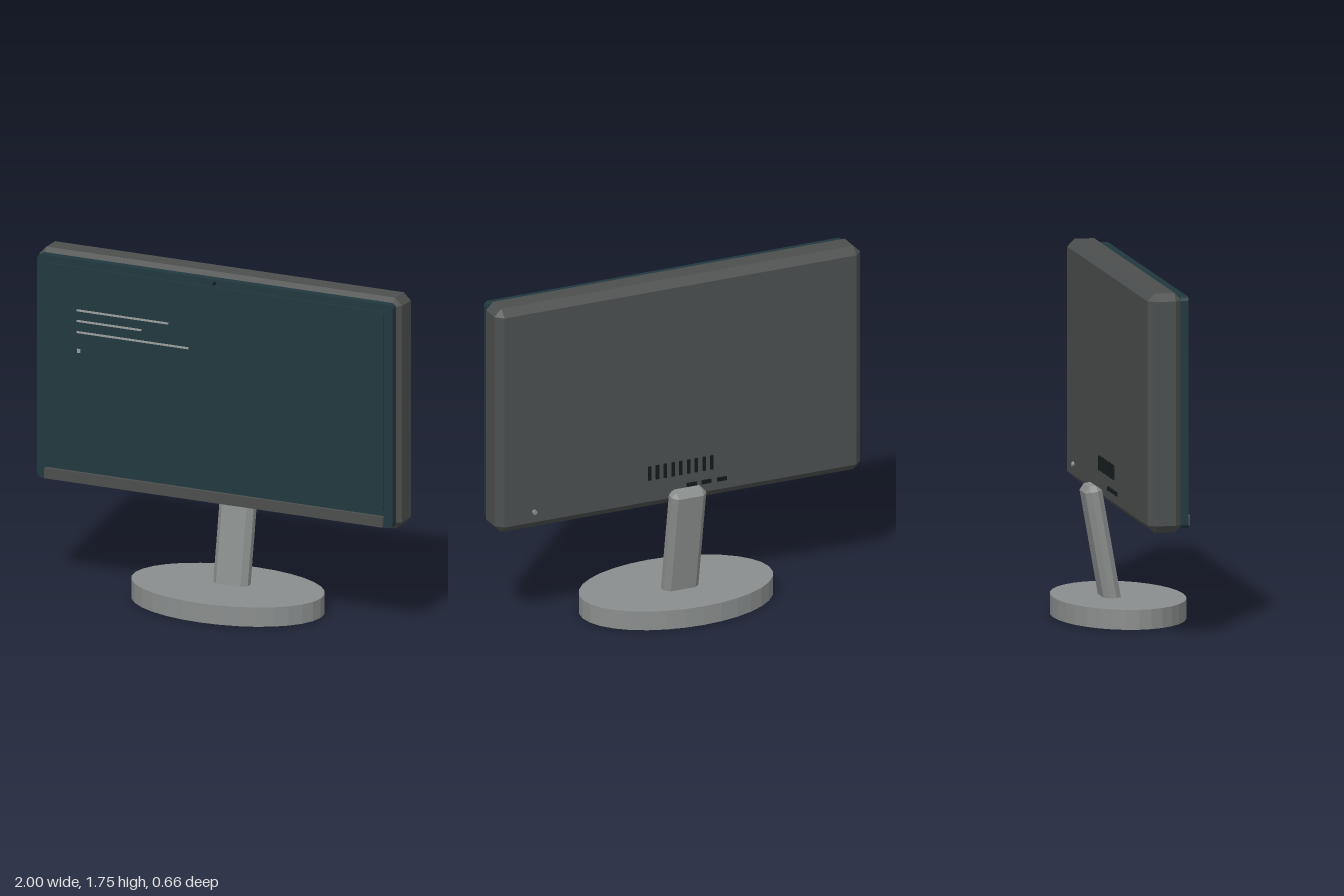
import * as THREE from 'three';
import { ConvexGeometry } from 'three/addons/geometries/ConvexGeometry.js';

const paint = (name, color) => {
  const m = new THREE.MeshStandardMaterial({ color });
  m.name = name;
  return m;
};

// Box with every edge chamfered flat by c
function chamferBox(w, h, d, c) {
  const pts = [];
  for (const sx of [-1, 1]) for (const sy of [-1, 1]) for (const sz of [-1, 1]) {
    for (let full = 0; full < 3; full++) {
      const inset = (axis) => (axis === full ? 0 : c);
      pts.push(new THREE.Vector3(
        sx * (w / 2 - inset(0)), sy * (h / 2 - inset(1)), sz * (d / 2 - inset(2))));
    }
  }
  return new ConvexGeometry(pts);
}

// Upright plate with rounded corners, centred on the origin
function roundedPlate(w, h, d, r) {
  const s = new THREE.Shape();
  const x = w / 2, y = h / 2;
  s.absarc(x - r, y - r, r, 0, Math.PI / 2);
  s.absarc(-x + r, y - r, r, Math.PI / 2, Math.PI);
  s.absarc(-x + r, -y + r, r, Math.PI, Math.PI * 1.5);
  s.absarc(x - r, -y + r, r, Math.PI * 1.5, Math.PI * 2);
  s.closePath();
  const g = new THREE.ExtrudeGeometry(s, { depth: d, bevelEnabled: false, curveSegments: 3 });
  return g.translate(0, 0, -d / 2);
}

export function createModel() {
  const group = new THREE.Group();
  const casing = paint('casing dark grey', 0x4c4f4f);
  const stand = paint('stand grey', 0x8a8e8d);
  const glass = paint('screen teal', 0x22383f);
  const black = paint('slot black', 0x12191b);
  const text = paint('text grey', 0x9a9e9b);

  const add = (name, geometry, material, x, y, z) => {
    const mesh = new THREE.Mesh(geometry, material);
    mesh.name = name;
    mesh.position.set(x, y, z);
    group.add(mesh);
    return mesh;
  };
  const box = (name, w, h, d, material, x, y, z) =>
    add(name, new THREE.BoxGeometry(w, h, d), material, x, y, z);

  // Housing, bezel, screen and chin
  add('housing', chamferBox(2, 1.2, 0.175, 0.038), casing, 0, 1.15, 0.0325);
  add('bezel', roundedPlate(1.96, 1.16, 0.04, 0.025), glass, 0, 1.15, 0.13);
  add('screen', roundedPlate(1.87, 1.036, 0.02, 0.02), glass, 0, 1.174, 0.15);
  add('chin', roundedPlate(1.87, 0.055, 0.03, 0.006), casing, 0, 0.602, 0.153);

  // Camera dot above the screen
  const camera = new THREE.CylinderGeometry(0.007, 0.007, 0.02, 12).rotateX(Math.PI / 2);
  add('camera', camera, black, 0, 1.711, 0.154);

  // Lines and cursor shown on the screen: left end, right end, height
  for (const [x0, x1, y] of [[-0.755, -0.25, 1.47], [-0.755, -0.4, 1.415], [-0.755, -0.14, 1.357]]) {
    box('screenLine', x1 - x0, 0.01, 0.006, text, (x0 + x1) / 2, y, 0.161);
  }
  box('screenCursor', 0.018, 0.02, 0.006, text, -0.745, 1.26, 0.161);

  // Vent slots, ports and power button on the back
  for (let i = -4; i <= 4; i++) {
    box('ventSlot', 0.016, 0.074, 0.016, black, i * 0.0425, 0.741, -0.055);
  }
  for (const x of [-0.225, -0.14, -0.06]) {
    box('port', 0.052, 0.02, 0.016, black, x, 0.643, -0.055);
  }
  const button = new THREE.CylinderGeometry(0.012, 0.012, 0.02, 12).rotateX(Math.PI / 2);
  add('powerButton', button, stand, 0.8, 0.645, -0.057);

  // Leaning neck, sunk into the oval base
  const tilt = 0.175, length = 0.62;
  const neck = add('neck', chamferBox(0.19, length, 0.087, 0.027), stand,
    0, 0.66 - Math.cos(tilt) * length / 2, -0.143 + Math.sin(tilt) * length / 2);
  neck.rotation.x = -tilt;

  const baseGeometry = new THREE.CylinderGeometry(1, 1, 0.1, 32).toNonIndexed();
  baseGeometry.scale(0.51, 1, 0.33);
  baseGeometry.computeVertexNormals();
  add('base', baseGeometry, stand, 0, 0.05, 0);

  return group;
}
